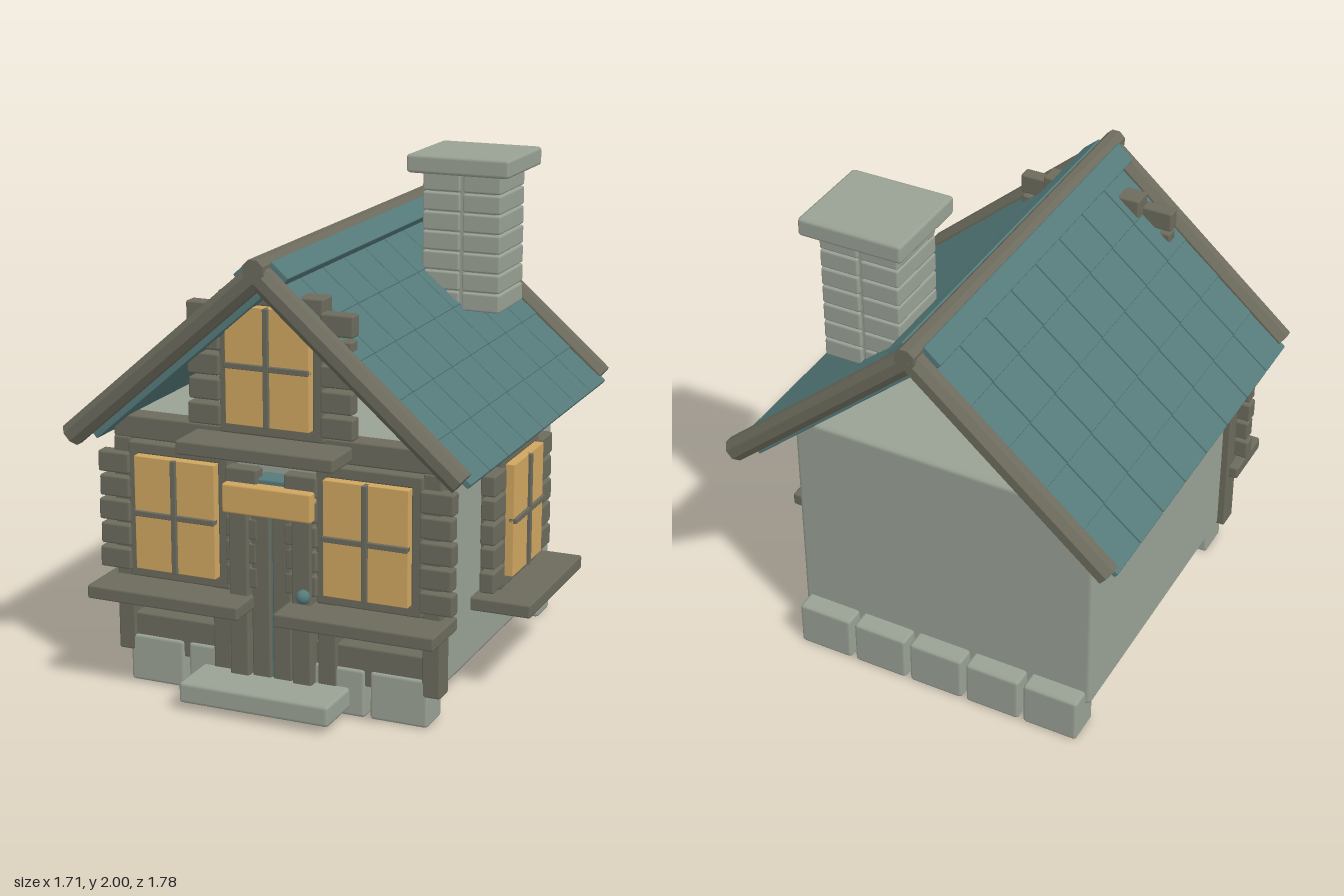
import * as THREE from 'three';
import { RoundedBoxGeometry } from 'three/addons/geometries/RoundedBoxGeometry.js';

const CX = -0.03; // middle plane of the house
const SLOPE = 0.715; // roof pitch in radians

const material = (name, color) => {
  const m = new THREE.MeshStandardMaterial({ color });
  m.name = name;
  return m;
};

export function createModel() {
  const model = new THREE.Group();
  model.name = 'cottage';
  const stone = material('stone', 0x99a194);
  const wood = material('wood', 0x6c6b5d);
  const teal = material('slate teal', 0x557a7a);
  const amber = material('amber', 0xd0a660);

  // Soft-edged box given by its limits on each axis
  function block(parent, name, mat, [x0, x1], [y0, y1], [z0, z1], bevel = 0.009) {
    const w = x1 - x0, h = y1 - y0, d = z1 - z0;
    const r = Math.min(bevel, Math.min(w, h, d) * 0.3);
    const mesh = new THREE.Mesh(new RoundedBoxGeometry(w, h, d, 1, r), mat);
    mesh.position.set((x0 + x1) / 2, (y0 + y1) / 2, (z0 + z1) / 2);
    mesh.name = name;
    parent.add(mesh);
    return mesh;
  }

  // Eight-sided pole lying along x or z, flat faceted
  function pole(parent, name, length, radius, axis) {
    let geo = new THREE.CylinderGeometry(radius, radius, length, 8);
    geo.rotateY(Math.PI / 8);
    if (axis === 'x') geo.rotateZ(Math.PI / 2);
    else geo.rotateX(Math.PI / 2);
    geo = geo.toNonIndexed();
    geo.computeVertexNormals();
    const mesh = new THREE.Mesh(geo, wood);
    mesh.name = name;
    parent.add(mesh);
    return mesh;
  }

  // Window with frame, glass, bars, side blocks and sill; local z = 0 is the wall
  function makeWindow(name, x, y, z, turn = 0) {
    const g = new THREE.Group();
    g.name = name;
    for (const s of [-1, 1]) {
      const side = (a, b) => (s > 0 ? [a, b] : [-b, -a]);
      block(g, 'frameSide', wood, side(0.168, 0.213), [-0.272, 0.272], [0.0, 0.09]);
      block(g, 'frameRail', wood, [-0.213, 0.213], side(0.224, 0.272), [0.0, 0.09]);
      for (let i = 0; i < 5; i++) {
        const cy = 0.182 - i * 0.0965;
        block(g, 'sideBlock', wood, side(0.205, i % 2 ? 0.333 : 0.338),
          [cy - 0.042, cy + 0.042], [0.045, 0.105]);
      }
    }
    block(g, 'glass', amber, [-0.17, 0.17], [-0.226, 0.226], [0.02, 0.123], 0.003);
    block(g, 'uprightBar', wood, [-0.011, 0.011], [-0.226, 0.226], [0.1, 0.136], 0.003);
    block(g, 'crossBar', wood, [-0.17, 0.17], [-0.011, 0.011], [0.1, 0.134], 0.003);
    block(g, 'sill', wood, [-0.32, 0.32], [-0.33, -0.275], [0.0, 0.247]);
    g.position.set(x, y, z);
    g.rotation.y = turn;
    model.add(g);
  }

  // Stone body and foundation blocks
  block(model, 'body', stone, [CX - 0.645, CX + 0.645], [0.13, 1.088], [-0.655, 0.61], 0.02);
  for (let i = 0; i < 5; i++) {
    const x = CX + (i - 2) * 0.254;
    block(model, 'frontFoundation', stone, [x - 0.117, x + 0.117], [0.005, 0.198], [0.535, 0.685], 0.014);
    block(model, 'backFoundation', stone, [x - 0.117, x + 0.117], [0.005, 0.198], [-0.735, -0.585], 0.014);
  }
  block(model, 'doorStep', stone, [-0.34, 0.28], [0.035, 0.12], [0.6, 0.89], 0.015);

  // Timber framing of the front
  block(model, 'topBeam', wood, [-0.705, 0.645], [0.995, 1.087], [0.595, 0.683]);
  block(model, 'lowBeam', wood, [-0.66, 0.6], [0.13, 0.287], [0.595, 0.675]);
  block(model, 'middleBeam', wood, [-0.66, 0.6], [0.385, 0.46], [0.595, 0.675]);
  for (const s of [-1, 1]) {
    const side = (a, b) => (s > 0 ? [CX + a, CX + b] : [CX - b, CX - a]);
    block(model, 'cornerPost', wood, side(0.6, 0.675), [0.13, 1.0], [0.595, 0.686]);
    block(model, 'doorPost', wood, side(0.18, 0.258), [0.11, 0.8], [0.6, 0.69]);
    block(model, 'outerDoorPlank', wood, side(0.09, 0.17), [0.11, 0.78], [0.62, 0.727]);
    block(model, 'innerDoorPlank', wood, side(0.004, 0.083), [0.11, 0.78], [0.62, 0.712]);
  }
  block(model, 'doorPanel', teal, [CX - 0.07, CX + 0.07], [0.11, 0.905], [0.6, 0.7]);
  block(model, 'doorLintel', amber, [-0.215, 0.152], [0.77, 0.885], [0.62, 0.75]);
  const knob = new THREE.Mesh(new THREE.SphereGeometry(0.028, 16, 12), teal);
  knob.name = 'doorKnob';
  knob.position.set(0.117, 0.48, 0.745);
  model.add(knob);

  makeWindow('leftFrontWindow', CX + 0.393, 0.717, 0.61);
  makeWindow('rightFrontWindow', CX - 0.393, 0.717, 0.61);
  makeWindow('gableWindow', CX, 1.34, 0.61);
  makeWindow('sideWindow', 0.61, 0.675, -0.025, Math.PI / 2);

  // Roof: each half is built along its slope (x down the slope, y outwards)
  const roof = new THREE.Group();
  roof.name = 'roof';
  roof.position.set(CX, 1.704, -0.025);
  model.add(roof);
  for (const turn of [0, Math.PI]) {
    const half = new THREE.Group();
    half.name = 'roofHalf';
    half.rotation.y = turn;
    const slope = new THREE.Group();
    slope.name = 'slope';
    slope.rotation.z = -SLOPE;
    half.add(slope);
    roof.add(half);
    block(slope, 'underlay', teal, [0, 0.99], [-0.069, -0.008], [-0.79, 0.79], 0.003);
    for (let c = 0; c < 8; c++) {
      for (let r = 0; r < 5; r++) {
        const x = 0.07 + r * 0.2, z = (c - 3.5) * 0.2;
        const tile = block(slope, 'tile', teal, [x, x + 0.205], [-0.014, 0.01], [z - 0.097, z + 0.097], 0.004);
        tile.rotation.z = 0.02;
      }
    }
    block(slope, 'ridgeBoard', teal, [0.0, 0.09], [0.02, 0.063], [-0.803, 0.795], 0.004);
    for (const z of [-0.82, 0.82]) {
      pole(slope, 'rafter', 1.047, 0.049, 'x').position.set(0.5235, 0, z);
    }
  }
  pole(roof, 'ridgePole', 1.73, 0.043, 'z').position.set(0, 0.022, 0);

  // Chimney of stacked blocks in two columns
  const chimney = new THREE.Group();
  chimney.name = 'chimney';
  model.add(chimney);
  for (let r = 0; r < 7; r++) {
    const y = 1.376 + r * 0.0792;
    block(chimney, 'brick', stone, [0.172, 0.33], [y, y + 0.075], [-0.575, -0.29]);
    block(chimney, 'brick', stone, [0.342, 0.502], [y, y + 0.075], [-0.575, -0.29]);
  }
  block(chimney, 'core', stone, [0.19, 0.485], [1.39, 1.95], [-0.56, -0.305]);
  block(chimney, 'cap', stone, [0.122, 0.553], [1.925, 2.0], [-0.635, -0.235], 0.014);

  return model;
}
